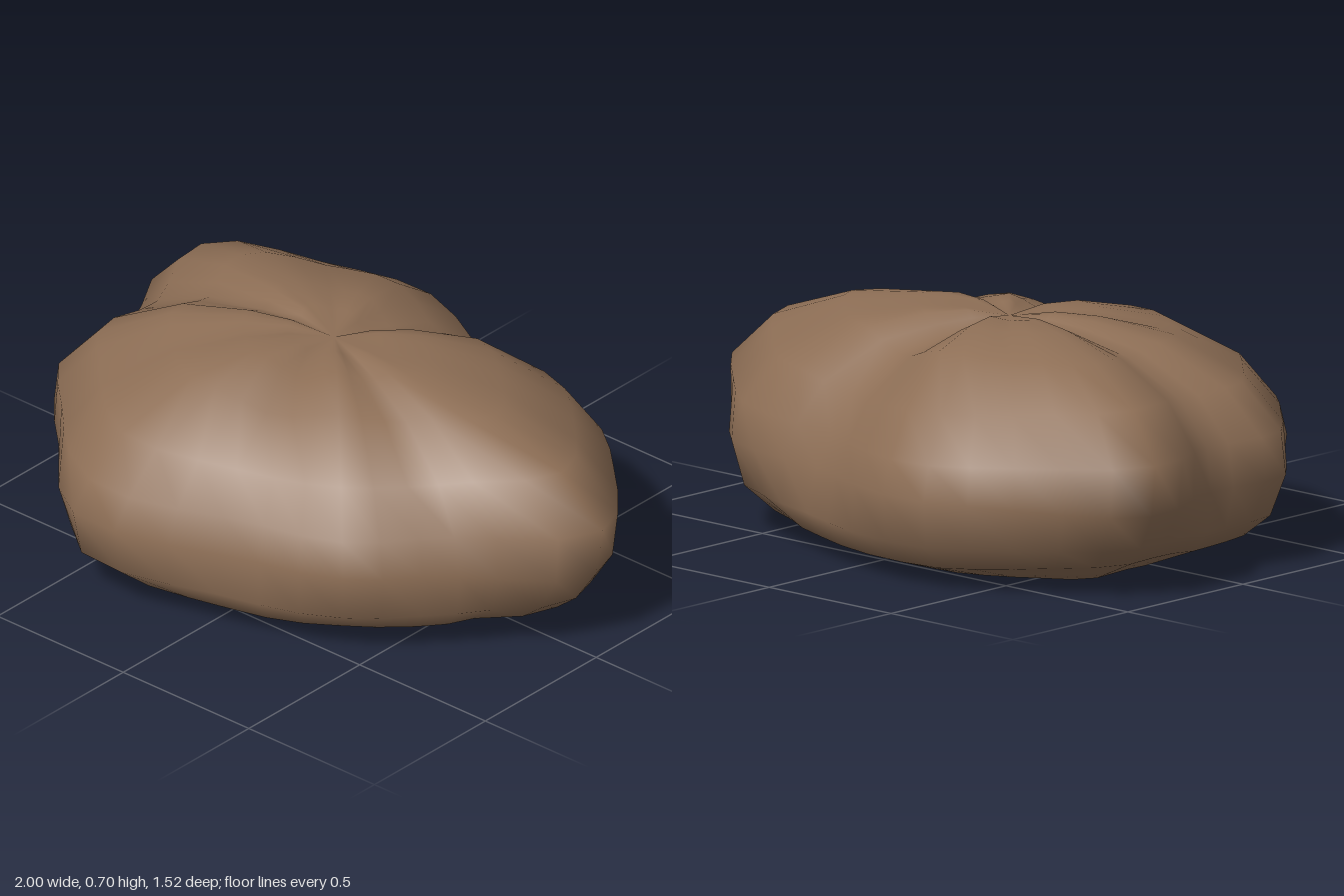
import * as THREE from 'three';

// Widest outline of the boulder seen from above, counterclockwise from +x:
// [x, z, blend], where blend 1 bulges high (HIGH profile) and 0 bulges low (LOW profile)
const OUTLINE = [
  [1.0, -0.03, 1], [0.96, -0.15, 0.95], [0.88, -0.25, 0.85], [0.78, -0.36, 0.7], [0.7, -0.45, 0.55],
  [0.6, -0.54, 0.4], [0.46, -0.59, 0.35], [0.31, -0.6, 0.35], [0.16, -0.605, 0.35], [0.05, -0.645, 0.25],
  [-0.08, -0.715, 0.15], [-0.24, -0.765, 0.1], [-0.4, -0.755, 0.15], [-0.53, -0.7, 0.3], [-0.66, -0.63, 0.5],
  [-0.8, -0.565, 0.7], [-0.93, -0.49, 0.9], [-1.0, -0.38, 1], [-0.99, -0.25, 1], [-0.93, -0.13, 0.9],
  [-0.9, -0.03, 0.75], [-0.91, 0.06, 0.65], [-0.94, 0.18, 0.6], [-0.92, 0.29, 0.6], [-0.84, 0.38, 0.65],
  [-0.74, 0.47, 0.7], [-0.66, 0.56, 0.6], [-0.56, 0.67, 0.4], [-0.42, 0.755, 0.15], [-0.25, 0.76, 0.1],
  [-0.08, 0.705, 0.3], [0.06, 0.64, 0.5], [0.19, 0.595, 0.35], [0.32, 0.57, 0.2], [0.45, 0.52, 0.15],
  [0.54, 0.44, 0.25], [0.61, 0.34, 0.4], [0.69, 0.265, 0.5], [0.8, 0.2, 0.6], [0.94, 0.09, 0.85],
];
// Rings from top to base, [share of outline radius, height]
const HIGH = [[0.17, 0.7], [0.33, 0.695], [0.6, 0.655], [0.85, 0.565], [1, 0.425], [0.975, 0.265], [0.9, 0.15], [0.83, 0.09], [0.6, 0]];
const LOW = [[0.15, 0.7], [0.3, 0.695], [0.53, 0.655], [0.8, 0.51], [0.92, 0.375], [1, 0.285], [0.975, 0.133], [0.84, 0.047], [0.62, 0]];
// Per ring: how far the grooves between lobes sink, and how much they fill out
const SINK = [0.25, 0.35, 0.35, 0.25, 0.1, 0, 0, 0, 0];
const FILL = [0.4, 0.4, 0.3, 0.15, 0, 0.2, 0.8, 1.2, 1.2];
const POLE = [-0.07, 0.68, -0.03];

function boulderGeometry() {
  const n = OUTLINE.length, rings = HIGH.length;
  const { lerp } = THREE.MathUtils;
  const offsets = OUTLINE.map(([x, z]) => [x - POLE[0], z - POLE[2]]);
  const radii = offsets.map(([x, z]) => Math.hypot(x, z));
  // Depth of the outline's dips between lobes
  const dips = radii.map((r, i) => {
    let sum = 0;
    for (let k = -4; k <= 4; k++) sum += radii[(i + k + n) % n];
    return Math.max(0, 1 - (9 * r) / sum);
  });

  const positions = [...POLE], index = [];
  for (let j = 0; j < rings; j++) {
    for (let i = 0; i < n; i++) {
      const [dx, dz] = offsets[i];
      const blend = OUTLINE[i][2];
      const s = lerp(LOW[j][0], HIGH[j][0], blend) * (1 + FILL[j] * dips[i]);
      const y = lerp(LOW[j][1], HIGH[j][1], blend) - SINK[j] * dips[i];
      positions.push(POLE[0] + dx * s, y, POLE[2] + dz * s);
    }
  }
  positions.push(POLE[0], 0, POLE[2]);

  const at = (j, i) => 1 + j * n + (i % n);
  const base = 1 + rings * n;
  for (let i = 0; i < n; i++) {
    index.push(0, at(0, i), at(0, i + 1));
    for (let j = 0; j < rings - 1; j++) {
      const a = at(j, i), b = at(j, i + 1), c = at(j + 1, i), d = at(j + 1, i + 1);
      index.push(a, c, d, a, d, b);
    }
    index.push(base, at(rings - 1, i + 1), at(rings - 1, i));
  }
  const geometry = new THREE.BufferGeometry();
  geometry.setAttribute('position', new THREE.Float32BufferAttribute(positions, 3));
  geometry.setIndex(index);
  geometry.computeVertexNormals();
  return geometry;
}

export function createModel() {
  const group = new THREE.Group();
  group.name = 'lobedBoulder';
  const brown = new THREE.MeshStandardMaterial({ color: 0x8d6e55 });
  brown.name = 'earthBrown';
  const boulder = new THREE.Mesh(boulderGeometry(), brown);
  boulder.name = 'boulder';
  group.add(boulder);
  return group;
}
